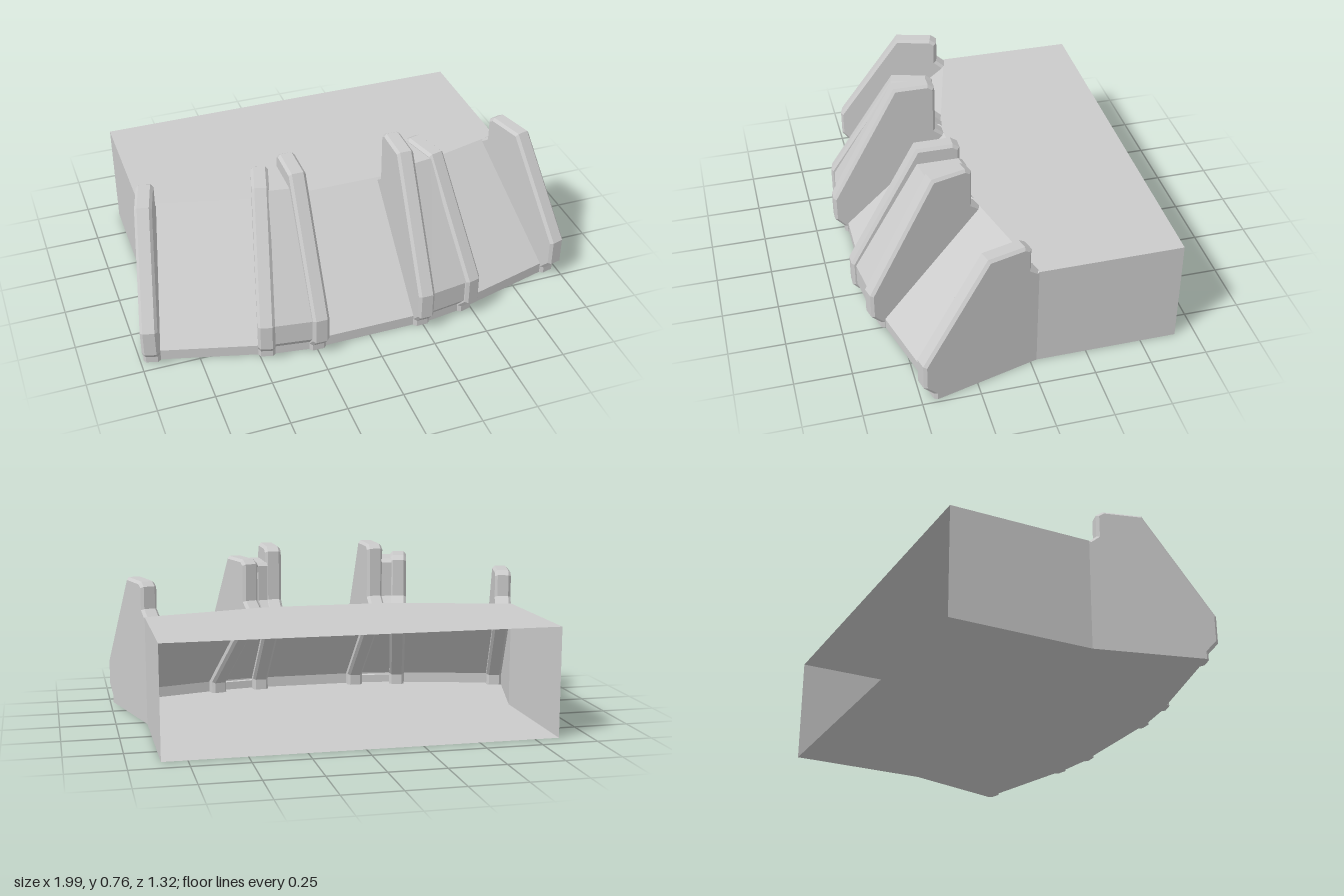
import * as THREE from 'three';

const TILT = Math.PI / 12; // the wings fold back by 15 degrees
const WING = 0.07;         // wing surfaces sit this much further out along their own axis
const material = new THREE.MeshStandardMaterial({ color: 0xcccccc, flatShading: true, side: THREE.DoubleSide });

function addMesh(parent, name, geometry) {
  const mesh = new THREE.Mesh(geometry, material);
  mesh.name = name;
  parent.add(mesh);
  return mesh;
}

// Point given in the wing's own axes (u along, v outward) to [x, z]
const wingPoint = (u, v) => [
  u * Math.cos(TILT) + v * Math.sin(TILT),
  -u * Math.sin(TILT) + v * Math.cos(TILT),
];

// Flat-faced skin over rows of [x, y, z] points
function skin(rows) {
  const positions = [];
  for (let i = 0; i < rows.length - 1; i++) {
    for (let j = 0; j < rows[i].length - 1; j++) {
      const a = rows[i][j], b = rows[i][j + 1], c = rows[i + 1][j + 1], d = rows[i + 1][j];
      positions.push(...a, ...b, ...c, ...a, ...c, ...d);
    }
  }
  const geometry = new THREE.BufferGeometry();
  geometry.setAttribute('position', new THREE.Float32BufferAttribute(positions, 3));
  geometry.computeVertexNormals();
  return geometry;
}

// Upright fin with chamfered edges, centred on x = 0
function finGeometry(height, topFront) {
  const bevel = 0.012, width = 0.075;
  const shape = new THREE.Shape([
    [0.615, -bevel], [0.615, 0.03], [0.66, 0.08], [0.66, 0.2],
    [topFront, height], [0.19, height], [0.16, height - 0.02], [0.16, 0.52],
    [0.115, 0.485], [0.1, 0.465], [0.55, 0.05], [0.55, -bevel],
  ].map(([z, y]) => new THREE.Vector2(z, y)));
  const depth = width - 2 * bevel;
  const geometry = new THREE.ExtrudeGeometry(shape, {
    depth, bevelEnabled: true, bevelSegments: 1,
    bevelSize: bevel, bevelThickness: bevel, bevelOffset: -bevel,
  });
  geometry.translate(0, 0, -depth / 2).rotateY(-Math.PI / 2);
  // keep the foot flat on the ground
  const p = geometry.attributes.position;
  for (let i = 0; i < p.count; i++) p.setY(i, Math.max(0, p.getY(i)));
  geometry.computeVertexNormals();
  return geometry;
}

// Panel bridging the centre fin and the tilted fin
function fillerGeometry(side) {
  const profile = [
    [0.59, 0.04], [0.605, 0.045], [0.642, 0.09], [0.642, 0.19],
    [0.352, 0.695], [0.17, 0.695], [0.15, 0.68], [0.15, 0.52], [0.11, 0.485],
  ];
  return skin(profile.map(([z, y]) => {
    const [x2, z2] = wingPoint(0.272, z + WING);
    const ends = [[side * 0.275, y, z], [side * x2, y, z2]];
    return side > 0 ? ends : ends.reverse();
  }));
}

// Hollow body, open at the back
function addBody(parent) {
  const H = 0.49, LIP = 0.05;
  const corner = wingPoint(0.84, 0.195);
  // [ground point, top point] pairs from the centre to the back
  const half = [
    [[0.28, 0.6], [0.28, 0.12]],
    [wingPoint(0.268, 0.67), wingPoint(0.268, 0.19)],
    [wingPoint(0.84, 0.67), corner],
    [corner, corner],
    [[0.86, -0.66], [0.86, -0.66]],
  ];
  const mirrored = half.map((pair) => pair.map(([x, z]) => [-x, z])).reverse();
  const outline = [...mirrored, ...half];
  const row = (k, y) => outline.map((pair) => [pair[k][0], y, pair[k][1]]);
  addMesh(parent, 'bodyWalls', skin([row(0, 0), row(0, LIP), row(1, H)]));

  const plate = (k) => new THREE.ShapeGeometry(
    new THREE.Shape(outline.map((pair) => new THREE.Vector2(pair[k][0], -pair[k][1]))));
  addMesh(parent, 'bodyTop', plate(1).rotateX(-Math.PI / 2).translate(0, H, 0));
  const floor = plate(0).rotateX(-Math.PI / 2);
  const index = floor.index.array;
  for (let i = 0; i < index.length; i += 3) [index[i], index[i + 1]] = [index[i + 1], index[i]];
  floor.computeVertexNormals();
  addMesh(parent, 'bodyFloor', floor);
}

export function createModel() {
  const model = new THREE.Group();
  model.name = 'finnedBase';
  addBody(model);

  const centreFin = finGeometry(0.765, 0.35);
  const middleFin = finGeometry(0.71, 0.35);
  const outerFin = finGeometry(0.64, 0.36);

  for (const side of [1, -1]) {
    const label = side > 0 ? 'left' : 'right';
    addMesh(model, label + 'CentreFin', centreFin).position.x = side * 0.245;
    addMesh(model, label + 'FillerPanel', fillerGeometry(side));

    // fins that follow the folded-back wing
    const wing = new THREE.Group();
    wing.name = label + 'Wing';
    wing.rotation.y = side * TILT;
    addMesh(wing, label + 'MiddleFin', middleFin).position.set(side * 0.305, 0, WING);
    addMesh(wing, label + 'OuterFin', outerFin).position.set(side * 0.8025, 0, WING);
    model.add(wing);
  }
  return model;
}
